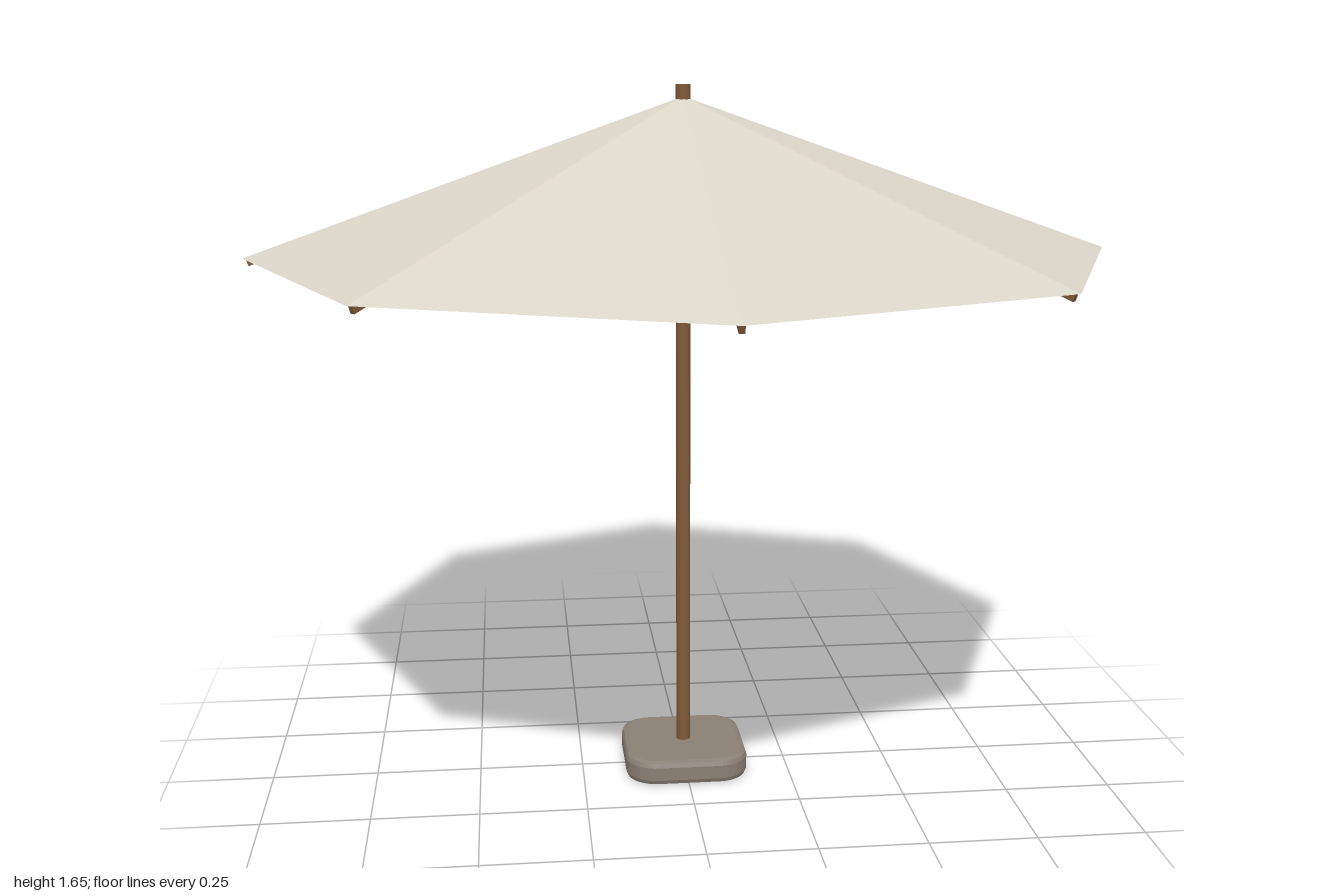
import * as THREE from 'three';

const fabric = new THREE.MeshStandardMaterial({ color: 0xdad5c8, side: THREE.DoubleSide, flatShading: true });
fabric.name = 'canvas fabric';
const wood = new THREE.MeshStandardMaterial({ color: 0x7f5a38 });
wood.name = 'brown wood';
const stone = new THREE.MeshStandardMaterial({ color: 0x8a7f74 });
stone.name = 'grey stone';

const SIDES = 8, APEX = 1.62, RIM = 1.265, POLE_R = 0.017;

function addMesh(parent, name, geometry, material) {
  const mesh = new THREE.Mesh(geometry, material);
  mesh.name = name;
  parent.add(mesh);
  return mesh;
}

// Square outline with rounded corners, centred on the origin
function roundedSquare(h, r) {
  const s = new THREE.Shape();
  const c = h - r;
  s.absarc(c, c, r, 0, Math.PI / 2);
  s.absarc(-c, c, r, Math.PI / 2, Math.PI);
  s.absarc(-c, -c, r, Math.PI, Math.PI * 1.5);
  s.absarc(c, -c, r, Math.PI * 1.5, Math.PI * 2);
  s.closePath();
  return s;
}

export function createModel() {
  const model = new THREE.Group();
  model.name = 'parasol';

  // Weighted foot: rounded slab with chamfered edges
  const bevel = 0.014;
  const foot = new THREE.ExtrudeGeometry(roundedSquare(0.147 - bevel, 0.06), {
    depth: 0.06 - 2 * bevel, bevelThickness: bevel, bevelSize: bevel, bevelSegments: 2, curveSegments: 6,
  });
  foot.rotateX(-Math.PI / 2).translate(0, bevel, 0);
  addMesh(model, 'base', foot, stone);

  // Pole, from the foot to just above the canopy
  const pole = addMesh(model, 'pole', new THREE.CylinderGeometry(POLE_R, POLE_R, 1.6, 12), wood);
  pole.position.y = 0.847;

  // Open eight-panel canopy
  const canopy = addMesh(model, 'canopy', new THREE.ConeGeometry(1, APEX - RIM, SIDES, 1, true), fabric);
  canopy.position.y = (APEX + RIM) / 2;

  // Slim ribs running down under each seam of the canopy
  const ribs = new THREE.Group();
  ribs.name = 'ribs';
  model.add(ribs);
  const slope = Math.atan(APEX - RIM);
  const ribLength = Math.hypot(1, APEX - RIM) - 0.012;
  const ribGeometry = new THREE.BoxGeometry(0.012, 0.016, ribLength);
  ribGeometry.translate(0, -0.0125, ribLength / 2 + 0.004);
  ribGeometry.rotateX(slope);
  for (let i = 0; i < SIDES; i++) {
    const rib = addMesh(ribs, 'rib', ribGeometry, wood);
    rib.position.y = APEX;
    rib.rotation.y = (i / SIDES) * Math.PI * 2;
  }

  return model;
}
